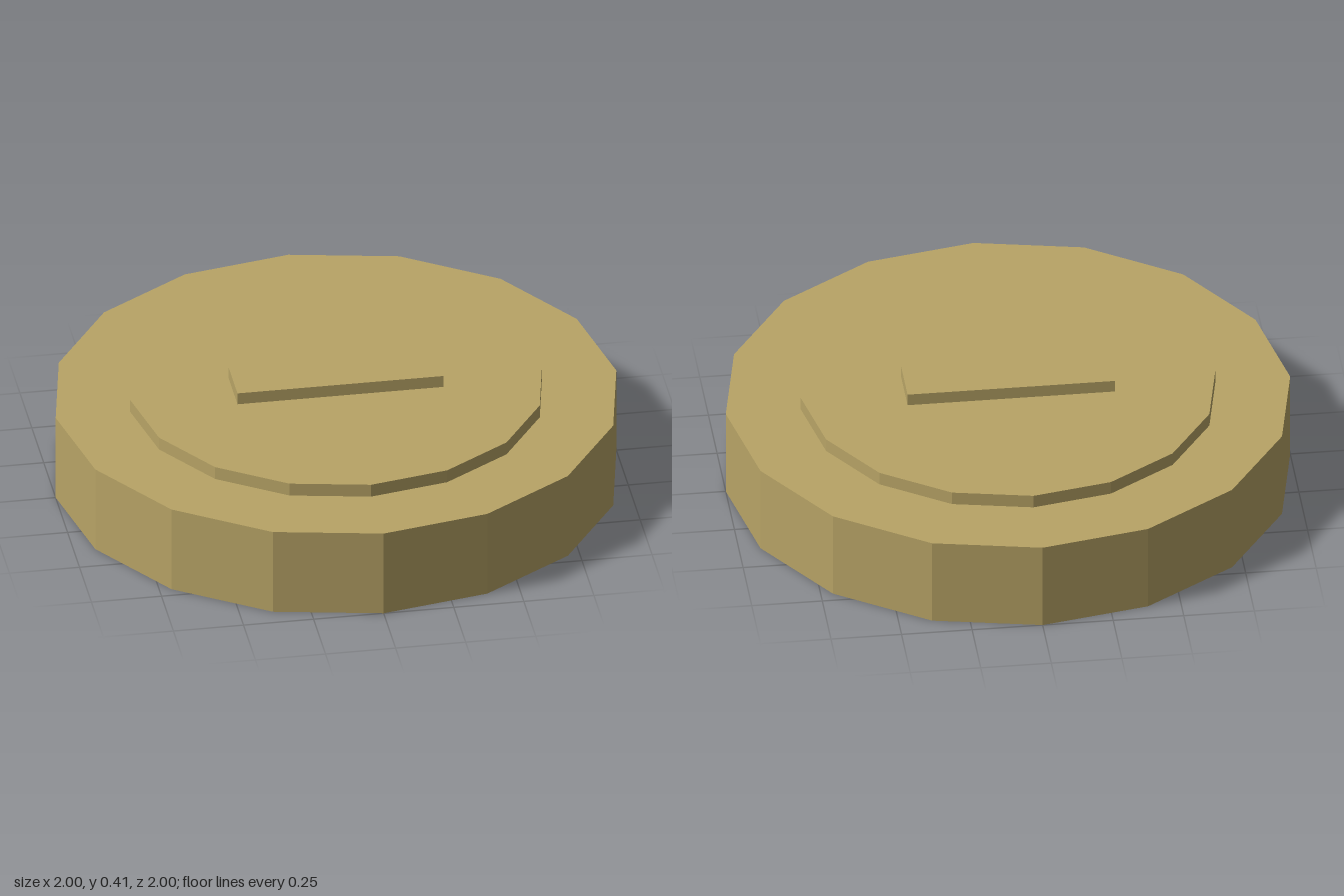
import * as THREE from 'three';

export function createModel() {
  const model = new THREE.Group();
  model.name = 'coin';
  const brass = new THREE.MeshStandardMaterial({ color: 0xb8a466, flatShading: true });
  brass.name = 'brass';

  // Adds a part resting with its underside at the given height
  const addPart = (name, geometry, bottom, height) => {
    const mesh = new THREE.Mesh(geometry, brass);
    mesh.name = name;
    mesh.position.y = bottom + height / 2;
    model.add(mesh);
  };
  const disc = (radius, height) => new THREE.CylinderGeometry(radius, radius, height, 16);

  // Thick sixteen-sided body, raised face, and the bar across it
  addPart('body', disc(1, 0.323), 0, 0.323);
  addPart('raisedFace', disc(0.735, 0.048), 0.323, 0.048);
  addPart('bar', new THREE.BoxGeometry(0.735, 0.044, 0.19), 0.371, 0.044);

  return model;
}
